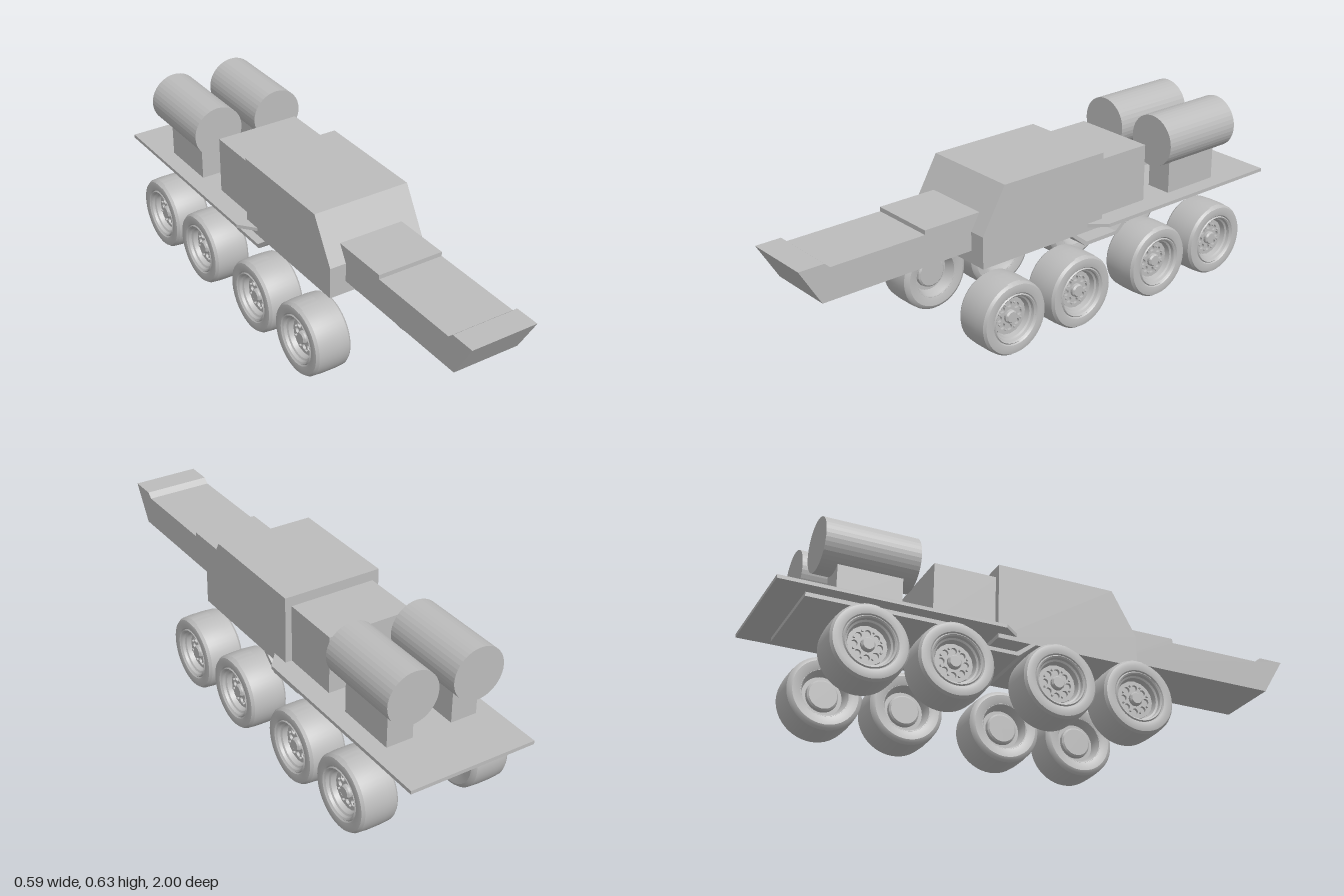
import * as THREE from 'three';
import { toCreasedNormals } from 'three/addons/utils/BufferGeometryUtils.js';

const grey = new THREE.MeshStandardMaterial({ color: 0xbcbcbc });
grey.name = 'plain grey';

function add(parent, name, geometry, x = 0, y = 0, z = 0) {
  const mesh = new THREE.Mesh(geometry, grey);
  mesh.name = name;
  mesh.position.set(x, y, z);
  parent.add(mesh);
  return mesh;
}

// Side profile given as [z, y] points, extruded across the full width
function sideProfile(points, width) {
  const shape = new THREE.Shape(points.map(([z, y]) => new THREE.Vector2(-z, y)));
  const g = new THREE.ExtrudeGeometry(shape, { depth: width, bevelEnabled: false });
  g.translate(0, 0, -width / 2);
  g.rotateY(Math.PI / 2);
  return g;
}

// Lathe about the x axis; points are [radius, x], from the inner to the outer side
function axleLathe(points, segments, start = 0, length = Math.PI * 2) {
  const g = new THREE.LatheGeometry(points.map(([r, x]) => new THREE.Vector2(r, x)), segments, start, length);
  g.rotateZ(-Math.PI / 2);
  return toCreasedNormals(g, 0.5);
}

const tyreGeo = axleLathe([
  [0.079, -0.055], [0.084, -0.066], [0.098, -0.071], [0.118, -0.073], [0.128, -0.068], [0.134, -0.06],
  [0.1365, -0.025], [0.1365, 0.025], [0.134, 0.06], [0.127, 0.07], [0.112, 0.073], [0.096, 0.07], [0.09, 0.064],
], 48);
const rimGeo = axleLathe([
  [0, -0.045], [0.05, -0.045], [0.056, -0.04], [0.058, -0.028], [0.072, -0.028], [0.08, -0.058],
  [0.086, -0.067], [0.092, -0.066], [0.092, 0.066], [0.088, 0.07], [0.083, 0.066], [0.08, 0.056],
  [0.074, 0.052], [0.068, 0.026], [0, 0.026],
], 40);
const hubGeo = axleLathe([[0.024, 0.026], [0.024, 0.046], [0.019, 0.052], [0, 0.052]], 20);
const boltGeo = axleLathe([[0.004, 0.036], [0.004, 0.044], [0, 0.044]], 8);
// Raised patch over the top of the tyre
const patchGeo = axleLathe([
  [0.13, -0.012], [0.139, -0.012], [0.139, 0.022], [0.1365, 0.058], [0.127, 0.072],
], 8, Math.PI * 1.5 - 0.2, 0.4);

// Wheel disc with round openings
function discGeometry() {
  const shape = new THREE.Shape().absarc(0, 0, 0.068, 0, Math.PI * 2);
  for (let i = 0; i < 8; i++) {
    const a = (i / 8) * Math.PI * 2;
    shape.holes.push(new THREE.Path().absarc(Math.cos(a) * 0.043, Math.sin(a) * 0.043, 0.011, 0, Math.PI * 2, true));
  }
  const g = new THREE.ExtrudeGeometry(shape, { depth: 0.01, bevelEnabled: false, curveSegments: 8 });
  g.rotateY(Math.PI / 2);
  return g.translate(0.026, 0, 0);
}
const discGeo = discGeometry();

function makeWheel(side, z) {
  const wheel = new THREE.Group();
  wheel.name = side > 0 ? 'leftWheel' : 'rightWheel';
  add(wheel, 'tyre', tyreGeo);
  add(wheel, 'rim', rimGeo);
  add(wheel, 'wheelDisc', discGeo);
  add(wheel, 'hub', hubGeo);
  add(wheel, 'tyrePatch', patchGeo);
  for (let i = 0; i < 8; i++) {
    const a = ((i + 0.5) / 8) * Math.PI * 2;
    add(wheel, 'wheelBolt', boltGeo, 0, Math.cos(a) * 0.05, Math.sin(a) * 0.05);
  }
  wheel.position.set(side * 0.22, 0.139, z);
  if (side < 0) wheel.rotation.y = Math.PI;
  return wheel;
}

export function createModel() {
  const model = new THREE.Group();
  model.name = 'eightWheeledVehicle';

  // Cabin and long nose
  add(model, 'cabin', sideProfile([
    [0.33, 0.303], [0.33, 0.42], [0.235, 0.583], [-0.21, 0.583], [-0.21, 0.303],
  ], 0.374));
  add(model, 'nose', sideProfile([
    [0.92, 0.35], [1.0, 0.483], [0.905, 0.483], [0.885, 0.465], [0.52, 0.465], [0.52, 0.481],
    [0.28, 0.481], [0.28, 0.35],
  ], 0.25));

  // Block behind the cabin
  add(model, 'rearBlock', new THREE.BoxGeometry(0.324, 0.215, 0.24), 0, 0.4385, -0.32);

  // Flat deck with a tapered front
  const deckShape = new THREE.Shape([
    [-0.187, 0.14], [0.187, 0.14], [0.237, 0.2], [0.237, 1], [-0.237, 1], [-0.237, 0.2],
  ].map(([x, y]) => new THREE.Vector2(x, y)));
  const deckGeo = new THREE.ExtrudeGeometry(deckShape, { depth: 0.013, bevelEnabled: false });
  deckGeo.rotateX(-Math.PI / 2);
  add(model, 'deck', deckGeo, 0, 0.319, 0);

  // Bent sheet that dips between the axles and runs on beneath the deck
  add(model, 'underPlate', sideProfile([
    [-0.07, 0.317], [-0.14, 0.264], [-0.28, 0.264], [-0.345, 0.319], [-0.89, 0.319],
    [-0.89, 0.304], [-0.35, 0.304], [-0.287, 0.25], [-0.133, 0.25], [-0.07, 0.302],
  ], 0.374));

  // Twin tanks on pedestals
  const tankGeo = new THREE.CylinderGeometry(0.097, 0.097, 0.335, 40).rotateX(Math.PI / 2).toNonIndexed();
  tankGeo.computeVertexNormals();
  for (const side of [1, -1]) {
    add(model, 'tank', tankGeo, side * 0.125, 0.534, -0.677);
    add(model, 'tankPedestal', new THREE.BoxGeometry(0.1, 0.13, 0.23), side * 0.125, 0.395, -0.67);
    for (const z of [0.275, -0.025, -0.4, -0.697]) model.add(makeWheel(side, z));
  }
  return model;
}
